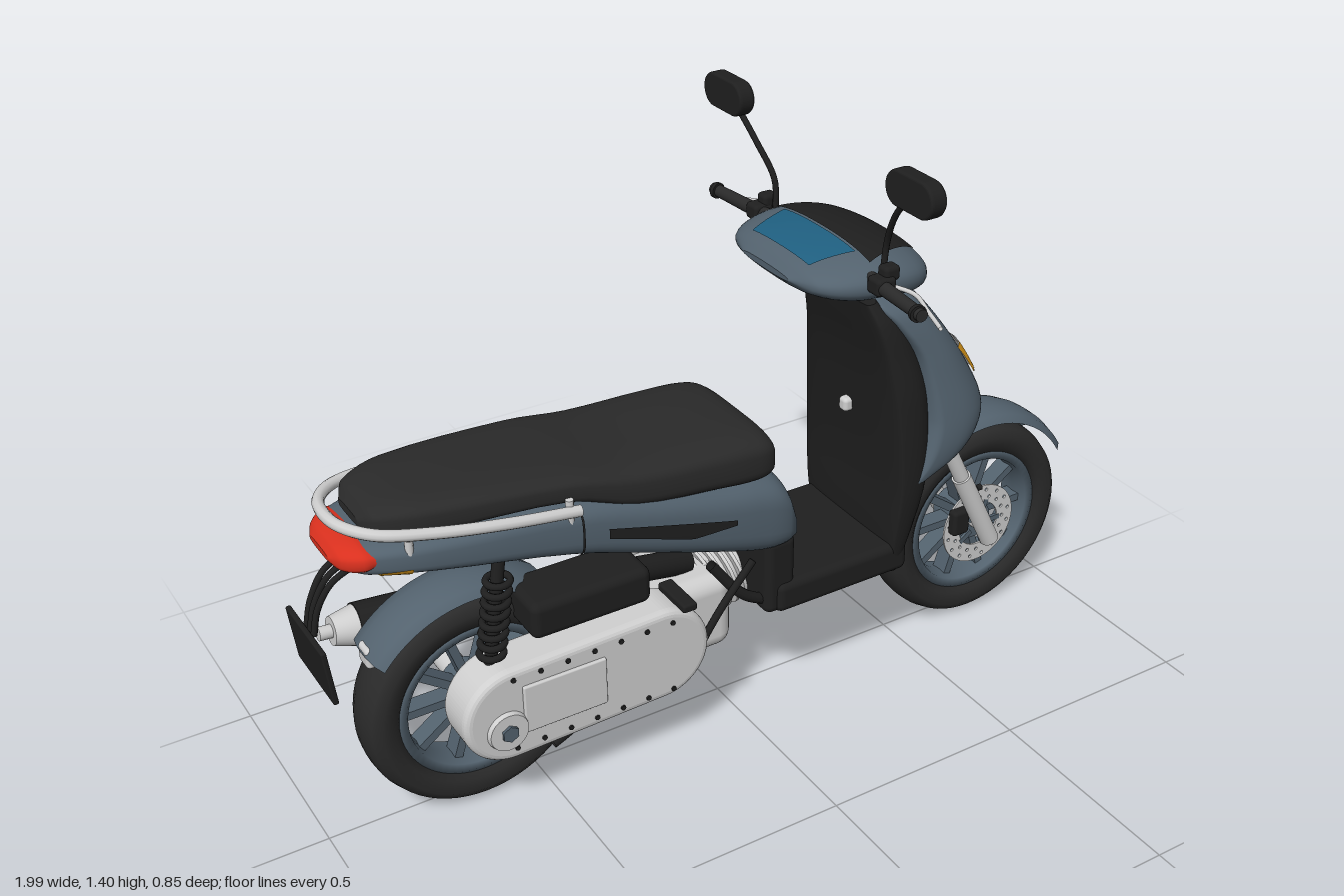
import * as THREE from 'three';
import { RoundedBoxGeometry } from 'three/addons/geometries/RoundedBoxGeometry.js';

const V = (x, y, z) => new THREE.Vector3(x, y, z);
const paint = (name, color, side = THREE.FrontSide) => Object.assign(new THREE.MeshStandardMaterial({ color, side }), { name });

// Smooth lookup in rows of [key, a, b, c], keys ascending
function sample(rows, k) {
  let i = 0;
  while (i < rows.length - 2 && k > rows[i + 1][0]) i++;
  const at = (j) => rows[Math.min(Math.max(j, 0), rows.length - 1)];
  const h = rows[i + 1][0] - rows[i][0], t = (k - rows[i][0]) / h;
  const slope = (j, c) => (at(j + 1)[c] - at(j - 1)[c]) / (at(j + 1)[0] - at(j - 1)[0]);
  return [1, 2, 3].map((c) => (2 * t ** 3 - 3 * t * t + 1) * rows[i][c] + (t ** 3 - 2 * t * t + t) * h * slope(i, c)
    + (3 * t * t - 2 * t ** 3) * rows[i + 1][c] + (t ** 3 - t * t) * h * slope(i + 1, c));
}

// Capped skin through rings ring(key, values, angle)
function loft(rows, ring, n = 40) {
  const pos = [], idx = [], keys = [];
  rows.slice(1).forEach((r, i) => { for (let j = 0; j < 4; j++) keys.push(rows[i][0] + (r[0] - rows[i][0]) * j / 4); });
  keys.push(rows[rows.length - 1][0]);
  const pts = keys.map((k) => Array.from({ length: n }, (_, j) => ring(k, sample(rows, k), j / n * Math.PI * 2)));
  pts.forEach((r) => r.forEach((p) => pos.push(...p)));
  for (let i = 0; i < keys.length - 1; i++) for (let j = 0; j < n; j++) {
    const a = i * n + j, b = i * n + (j + 1) % n;
    idx.push(a, b, a + n, b, b + n, a + n);
  }
  [0, keys.length - 1].forEach((i) => {
    const base = pos.length / 3, mid = [0, 1, 2].map((c) => pts[i].reduce((s, p) => s + p[c] / n, 0));
    pts[i].forEach((p) => pos.push(...p));
    pos.push(...mid);
    for (let j = 0; j < n; j++) {
      const a = base + j, b = base + (j + 1) % n;
      i ? idx.push(base + n, a, b) : idx.push(base + n, b, a);
    }
  });
  // Turn the skin outward when its signed volume is negative
  const P = (i) => V(pos[i * 3], pos[i * 3 + 1], pos[i * 3 + 2]);
  let vol = 0;
  for (let i = 0; i < idx.length; i += 3) vol += P(idx[i]).dot(P(idx[i + 1]).cross(P(idx[i + 2])));
  if (vol < 0) idx.reverse();
  return surface(pos, idx);
}
function surface(pos, idx) {
  const g = new THREE.BufferGeometry();
  g.setAttribute('position', new THREE.Float32BufferAttribute(pos, 3));
  g.setIndex(idx);
  g.computeVertexNormals();
  return g;
}
// Painted skin over a surface point(a, b), a from a0 to a1, b from lo(a) to hi(a)
function patch(point, a0, a1, lo, hi, n = 24, m = 8) {
  const pos = [], idx = [];
  for (let i = 0; i <= n; i++) for (let j = 0; j <= m; j++) {
    const a = a0 + (a1 - a0) * i / n;
    pos.push(...point(a, lo(a) + (hi(a) - lo(a)) * j / m));
    const k = i * (m + 1) + j;
    if (i < n && j < m) idx.push(k, k + m + 1, k + 1, k + 1, k + m + 1, k + m + 2);
  }
  return surface(pos, idx);
}
const pw = (v, e) => Math.sign(v) * Math.abs(v) ** e;
const bulge = (q, e) => Math.max(0, 1 - Math.abs(q) ** (2 / e)) ** (e / 2);
const alongX = (e) => (x, [y0, y1, w], t) => [x, (y0 + y1) / 2 + (y1 - y0) / 2 * pw(Math.sin(t), e), w * pw(Math.cos(t), e)];
const alongY = (back) => (y, [xb, xf, w], t) => {
  const xc = xb + (xf - xb) * 0.3, c = Math.cos(t);
  return [c > 0 ? xc + (xf - xc) * c ** 0.8 : xc - (xc - xb) * (-c) ** back, y, w * pw(Math.sin(t), 0.8)];
};

export function createModel() {
  const root = new THREE.Group();
  const D = THREE.DoubleSide;
  const body = paint('slate paint', 0x53626e, D), black = paint('black plastic', 0x1f1f1f, D), rubber = paint('rubber', 0x2a2a2a);
  const silver = paint('silver', 0xcfcfcf, D), red = paint('red lens', 0xd9301e), amber = paint('amber lens', 0xe09c1c, D), glass = paint('blue screen', 0x1f5f80, D);
  const add = (name, geo, mat, x = 0, y = 0, z = 0, parent = root) => {
    const m = new THREE.Mesh(geo, mat);
    m.name = name; m.position.set(x, y, z); parent.add(m);
    return m;
  };
  const tube = (name, mat, r, pts, closed = false) => add(name, new THREE.TubeGeometry(new THREE.CatmullRomCurve3(pts.map((p) => V(...p)), closed, 'centripetal'), pts.length * 8, r, 10, closed), mat);
  const rod = (name, mat, r1, r2, a, b, n = 24) => {
    const A = V(...a), d = V(...b).sub(A);
    const m = add(name, new THREE.CylinderGeometry(r2, r1, d.length(), n), mat);
    m.position.copy(A).addScaledVector(d, 0.5);
    m.quaternion.setFromUnitVectors(V(0, 1, 0), d.normalize());
    return m;
  };
  const box = (name, mat, s, p, r = 0.01) => add(name, new RoundedBoxGeometry(...s, 3, r), mat, ...p);
  const lathe = (pts, start = 0, len = Math.PI * 2) => new THREE.LatheGeometry(pts.map((p) => new THREE.Vector2(...p)), 64, start, len).rotateX(Math.PI / 2);

  // Wheels and mudguards
  for (const [label, x, a0, a1] of [['front', 0.73, 30, 150], ['rear', -0.64, 55, 142]]) {
    const w = new THREE.Group();
    w.name = label + 'Wheel'; w.position.set(x, 0.266, 0); root.add(w);
    add('tyre', lathe([[0.185, -0.045], [0.205, -0.06], [0.235, -0.067], [0.255, -0.052], [0.264, -0.025], [0.266, 0], [0.264, 0.025], [0.255, 0.052], [0.235, 0.067], [0.205, 0.06], [0.185, 0.045], [0.185, -0.045]]), rubber, 0, 0, 0, w);
    add('rim', lathe([[0.17, -0.047], [0.193, -0.05], [0.193, 0.05], [0.17, 0.047], [0.165, 0], [0.17, -0.047]]), body, 0, 0, 0, w);
    add('hub', new THREE.CylinderGeometry(0.05, 0.05, 0.1, 32).rotateX(Math.PI / 2), body, 0, 0, 0, w);
    for (let i = 0; i < 10; i++) add('spoke', new THREE.BoxGeometry(0.14, 0.02, 0.045).translate(0.105, 0, 0).rotateZ(i * Math.PI / 5), body, 0, 0, 0, w);
    const rad = Math.PI / 180;
    add(label + 'Mudguard', lathe([[0.277, -0.073], [0.295, -0.058], [0.303, -0.025], [0.304, 0], [0.303, 0.025], [0.295, 0.058], [0.277, 0.073]], (a0 + 90) * rad, (a1 - a0) * rad), body, x, 0.268, 0);
  }

  // Drilled brake disc, axle and fork
  const disc = new THREE.Shape().absarc(0, 0, 0.108, 0, Math.PI * 2);
  disc.holes.push(new THREE.Path().absarc(0, 0, 0.06, 0, Math.PI * 2, true));
  for (let i = 0; i < 32; i++) {
    const a = i * Math.PI / 16, r = i % 2 ? 0.095 : 0.076;
    disc.holes.push(new THREE.Path().absarc(r * Math.cos(a), r * Math.sin(a), 0.0045, 0, Math.PI * 2, true));
  }
  add('brakeDisc', new THREE.ExtrudeGeometry(disc, { depth: 0.005, bevelEnabled: false, curveSegments: 32 }), silver, 0.73, 0.266, 0.063);
  for (let i = 0; i < 5; i++) add('discCarrier', new THREE.BoxGeometry(0.04, 0.014, 0.008).translate(0.047, 0, 0).rotateZ(i * Math.PI * 0.4), body, 0.73, 0.266, 0.065);
  box('brakeCaliper', black, [0.05, 0.07, 0.03], [0.66, 0.30, 0.075]);
  rod('frontAxle', silver, 0.016, 0.016, [0.73, 0.266, -0.11], [0.73, 0.266, 0.11]);
  for (const s of [-1, 1]) {
    rod('forkLower', silver, 0.024, 0.024, [0.742, 0.235, s * 0.1], [0.635, 0.45, s * 0.1]);
    rod('forkUpper', silver, 0.019, 0.019, [0.635, 0.45, s * 0.1], [0.56, 0.6, s * 0.1]);
    rod('forkReflector', black, 0.008, 0.008, [0.685, 0.4, s * 0.1], [0.70, 0.4, s * 0.1]);
  }

  // Front shield with lamp, indicators and grille
  const shield = [[0.55, 0.41, 0.48, 0.2], [0.59, 0.42, 0.6, 0.209], [0.64, 0.435, 0.655, 0.212], [0.7, 0.445, 0.665, 0.206], [0.8, 0.435, 0.615, 0.188], [0.87, 0.415, 0.57, 0.175], [0.95, 0.36, 0.51, 0.157], [0.985, 0.335, 0.475, 0.135], [1.005, 0.335, 0.44, 0.09]];
  add('frontShield', loft(shield, alongY(0.4), 64), body);
  const onShield = (lift) => (z, y) => {
    const [xb, xf, w] = sample(shield, y), xc = xb + (xf - xb) * 0.3;
    return [xc + (xf - xc) * bulge(z / (w + lift), 0.8) + lift, y, z * (1 + lift * 4)];
  };
  const lampLow = (z) => 0.725 + Math.abs(z) * 0.3, lampHigh = (z) => 0.818 + Math.abs(z) * 0.3;
  add('headlamp', patch(onShield(0.006), -0.148, 0.148, lampLow, lampHigh, 40), silver);
  add('headlampTrim', patch(onShield(0.008), -0.15, 0.15, (z) => lampLow(z) + 0.01, (z) => lampLow(z) + 0.014, 40, 1), black);
  for (const s of [-1, 1]) add('indicator', patch(onShield(0.008), s * 0.14, s * 0.168, () => 0.785, () => 0.862, 8), amber);
  add('shieldGrille', patch(onShield(0.005), -0.07, 0.07, (z) => 0.605 + Math.abs(z) * 1.36, () => 0.702), black);

  // Inner leg shield and floor
  add('legShield', loft([[0.3, 0.38, 0.42, 0.165], [0.4, 0.37, 0.46, 0.185], [0.55, 0.37, 0.5, 0.2], [0.75, 0.355, 0.5, 0.19], [0.86, 0.34, 0.47, 0.17], [0.95, 0.32, 0.42, 0.15], [1.0, 0.31, 0.36, 0.12]], alongY(0.25), 48), black);
  box('floor', black, [0.37, 0.08, 0.35], [0.24, 0.34, 0], 0.02);
  box('seatRiser', black, [0.08, 0.2, 0.33], [0.07, 0.4, 0], 0.02);
  box('bagHook', silver, [0.03, 0.035, 0.03], [0.355, 0.69, 0]);

  // Handlebar head
  const head = [[0.122, 1.09, 1.105, 0.09], [0.15, 1.065, 1.128, 0.165], [0.22, 1.04, 1.148, 0.212], [0.3, 1.03, 1.155, 0.222], [0.38, 1.022, 1.14, 0.21], [0.44, 1.028, 1.11, 0.16], [0.474, 1.05, 1.075, 0.07]];
  add('handlebarHead', loft(head, alongX(0.85), 56), body);
  const onHead = (x, z) => {
    const [y0, y1, w] = sample(head, x);
    return [x, (y0 + y1) / 2 + (y1 - y0) / 2 * bulge(z / w, 0.85) + 0.005, z];
  };
  add('instrumentScreen', patch(onHead, 0.16, 0.262, (x) => -0.11 - (x - 0.16) * 0.25, (x) => 0.11 + (x - 0.16) * 0.25), glass);
  add('dashPanel', patch(onHead, 0.268, 0.43, (x) => -0.18 + (x - 0.268) * 0.35, (x) => 0.18 - (x - 0.268) * 0.35, 24, 16), black);
  rod('steeringNeck', body, 0.05, 0.05, [0.38, 0.98, 0], [0.34, 1.06, 0]);
  add('headBadge', new THREE.SphereGeometry(0.015, 16, 10), body, 0.472, 1.06, 0);
  for (const s of [-1, 1]) {
    rod('grip', rubber, 0.017, 0.014, [0.26, 1.11, s * 0.19], [0.24, 1.112, s * 0.4]);
    rod('gripEnd', black, 0.019, 0.019, [0.241, 1.112, s * 0.38], [0.239, 1.112, s * 0.39]);
    box('switchPod', black, [0.05, 0.04, 0.045], [0.26, 1.112, s * 0.235]);
    box('mirrorClamp', black, [0.04, 0.035, 0.035], [0.28, 1.135, s * 0.232]);
    tube('brakeLever', silver, 0.005, [[0.28, 1.105, s * 0.23], [0.305, 1.1, s * 0.29], [0.29, 1.09, s * 0.36], [0.275, 1.082, s * 0.42]]);
    tube('mirrorStem', black, 0.007, [[0.285, 1.12, s * 0.205], [0.285, 1.19, s * 0.213], [0.265, 1.27, s * 0.26], [0.25, 1.34, s * 0.32]]);
    const oval = new THREE.Shape().absarc(0.038, 0, 0.035, -Math.PI / 2, Math.PI / 2).absarc(-0.038, 0, 0.035, Math.PI / 2, Math.PI * 1.5);
    add('mirrorCase', new THREE.ExtrudeGeometry(oval, { depth: 0.025, bevelSize: 0.005, bevelThickness: 0.007, bevelSegments: 3, curveSegments: 16 }).rotateY(Math.PI / 2), black, 0.235, 1.36, s * 0.347);
    add('mirrorGlass', new THREE.ShapeGeometry(oval, 16).rotateY(Math.PI / 2), silver, 0.269, 1.36, s * 0.347);
  }

  // Rear body, seat and tail
  const tail = [[-0.92, 0.71, 0.755, 0.07], [-0.88, 0.7, 0.77, 0.112], [-0.75, 0.68, 0.775, 0.15], [-0.45, 0.62, 0.77, 0.176], [-0.25, 0.555, 0.73, 0.186], [-0.1, 0.505, 0.7, 0.191], [0.02, 0.468, 0.68, 0.191], [0.08, 0.465, 0.645, 0.183], [0.112, 0.475, 0.56, 0.16]];
  add('rearBody', loft(tail, alongX(0.55), 56), body);
  for (const s of [-1, 1]) {
    const onTail = (x, y) => {
      const [y0, y1, w] = sample(tail, x);
      return [x, y, s * (w * bulge((2 * y - y0 - y1) / (y1 - y0), 0.55) + 0.005)];
    };
    add('sideVent', patch(onTail, -0.38, -0.07, (x) => 0.668 - Math.min(x + 0.38, 0.2) * 0.33, (x) => 0.692 - (x + 0.38) * 0.25), black);
    add('panelSeam', patch(onTail, -0.44, -0.435, () => 0.635, () => 0.74, 1), black);
    add('rearIndicator', patch(onTail, -0.86, -0.8, () => 0.7, () => 0.718, 6, 2), amber);
    box('footPeg', black, [0.035, 0.02, 0.11], [-0.245, 0.5, s * 0.23], 0.006);
  }
  add('seat', loft([[-0.872, 0.79, 0.81, 0.05], [-0.85, 0.775, 0.835, 0.09], [-0.75, 0.765, 0.846, 0.132], [-0.45, 0.75, 0.826, 0.16], [-0.3, 0.695, 0.805, 0.173], [-0.1, 0.67, 0.796, 0.181], [0, 0.66, 0.788, 0.18], [0.045, 0.667, 0.77, 0.165], [0.062, 0.69, 0.735, 0.13]], alongX(0.55), 56), rubber);
  const side = [[-0.44, 0.752, 0.175], [-0.6, 0.772, 0.17], [-0.75, 0.79, 0.15], [-0.86, 0.803, 0.115], [-0.91, 0.81, 0.06]];
  tube('grabRail', silver, 0.013, [...side, [-0.922, 0.812, 0], ...side.map(([x, y, z]) => [x, y, -z]).reverse()]);
  for (const s of [-1, 1]) for (const [x, z] of [[-0.46, 0.165], [-0.8, 0.13]]) rod('railPost', silver, 0.009, 0.009, [x, 0.72, s * z], [x, 0.78, s * z], 10);
  add('tailLight', loft([[-0.94, 0.73, 0.745, 0.05], [-0.925, 0.712, 0.762, 0.085], [-0.89, 0.708, 0.772, 0.115], [-0.865, 0.715, 0.768, 0.118]], alongX(0.7)), red);
  for (const s of [-1, 0, 1]) tube('plateBracket', black, 0.007, [[-0.86, 0.7, s * 0.03], [-0.93, 0.665, s * 0.025], [-0.965, 0.61, s * 0.02], [-0.98, 0.55, s * 0.02]]);
  box('plateHolder', black, [0.012, 0.135, 0.2], [-0.983, 0.49, 0], 0.004).rotation.z = 0.11;
  box('rearReflector', silver, [0.025, 0.05, 0.05], [-0.865, 0.445, 0]);

  // Transmission cover with bolts, and engine
  const cover = (r, depth, bevel) => new THREE.ExtrudeGeometry(
    new THREE.Shape().absarc(-0.25, 0.31, r, -Math.PI / 2, Math.PI / 2).absarc(-0.62, 0.3, r, Math.PI / 2, Math.PI * 1.5),
    { depth, bevelSize: bevel, bevelThickness: bevel, bevelSegments: 4, curveSegments: 24 });
  add('transmissionCover', cover(0.1, 0.08, 0.017), silver, 0, 0, 0.085);
  box('coverPlate', silver, [0.2, 0.12, 0.012], [-0.5, 0.31, 0.184], 0.004);
  rod('coverHub', silver, 0.052, 0.045, [-0.64, 0.27, 0.17], [-0.64, 0.27, 0.193]);
  rod('hubNut', body, 0.02, 0.02, [-0.64, 0.27, 0.19], [-0.64, 0.27, 0.2], 6);
  for (let i = 0; i < 7; i++) for (const y of [0.215, 0.395]) rod('coverBolt', black, 0.006, 0.006, [-0.62 + i * 0.065, y, 0.175], [-0.62 + i * 0.065, y, 0.186], 8);
  rod('rearAxle', silver, 0.03, 0.03, [-0.64, 0.266, -0.16], [-0.64, 0.266, 0.1]);
  box('crankcase', silver, [0.3, 0.2, 0.22], [-0.17, 0.31, 0], 0.04);
  rod('cylinderHead', silver, 0.08, 0.06, [-0.1, 0.33, 0], [0.045, 0.36, 0]);
  for (let i = 0; i < 5; i++) rod('coolingFin', silver, 0.086, 0.086, [-0.07 + i * 0.022, 0.336 + i * 0.004, 0], [-0.062 + i * 0.022, 0.338 + i * 0.004, 0]);
  rod('fanShroud', silver, 0.135, 0.125, [-0.14, 0.325, -0.08], [-0.14, 0.325, -0.155], 40);
  rod('fanCover', black, 0.118, 0.108, [-0.14, 0.325, -0.15], [-0.14, 0.325, -0.178], 40);
  for (let i = -4; i <= 4; i++) box('fanSlat', rubber, [2 * Math.sqrt(0.0112 - (i * 0.022) ** 2), 0.01, 0.012], [-0.14, 0.325 + i * 0.022, -0.181], 0.003);
  box('airFilter', black, [0.29, 0.09, 0.14], [-0.41, 0.495, 0.09], 0.02);
  rod('intakeTube', black, 0.03, 0.03, [-0.3, 0.48, 0.06], [-0.1, 0.42, 0.02]);

  // Exhaust
  tube('exhaustPipe', body, 0.021, [[0.0, 0.3, -0.04], [-0.03, 0.2, -0.08], [-0.09, 0.15, -0.11], [-0.22, 0.142, -0.12], [-0.32, 0.17, -0.15], [-0.38, 0.28, -0.19], [-0.43, 0.33, -0.21]]);
  rod('exhaustCone', body, 0.025, 0.05, [-0.41, 0.325, -0.205], [-0.51, 0.335, -0.224]);
  rod('muffler', black, 0.051, 0.051, [-0.505, 0.335, -0.224], [-0.81, 0.36, -0.228], 32);
  rod('mufflerCap', silver, 0.048, 0.034, [-0.81, 0.36, -0.228], [-0.865, 0.364, -0.228], 32);
  rod('mufflerTip', silver, 0.016, 0.016, [-0.86, 0.364, -0.228], [-0.895, 0.367, -0.228]);

  // Coil shocks, frame tubes and stand
  for (const s of [-1, 1]) {
    rod('shockRod', black, 0.014, 0.014, [-0.645, 0.38, s * 0.12], [-0.605, 0.67, s * 0.12]);
    for (let i = 0; i < 8; i++) add('springCoil', new THREE.TorusGeometry(0.026, 0.008, 8, 20).rotateX(Math.PI / 2), black, -0.637 + i * 0.0037, 0.435 + i * 0.025, s * 0.12);
    tube('frameTube', black, 0.013, [[0.08, 0.31, s * 0.13], [-0.02, 0.37, s * 0.14], [-0.1, 0.47, s * 0.13]]);
    tube('frameStay', black, 0.009, [[0.0, 0.46, s * 0.15], [-0.09, 0.36, s * 0.155], [-0.16, 0.23, s * 0.14]]);
    tube('centreStand', black, 0.011, [[-0.16, 0.22, s * 0.09], [-0.3, 0.17, s * 0.12], [-0.42, 0.19, s * 0.14], [-0.52, 0.16, s * 0.15]]);
  }
  rod('standBar', black, 0.011, 0.011, [-0.2, 0.2, -0.1], [-0.2, 0.2, 0.1]);
  return root;
}
